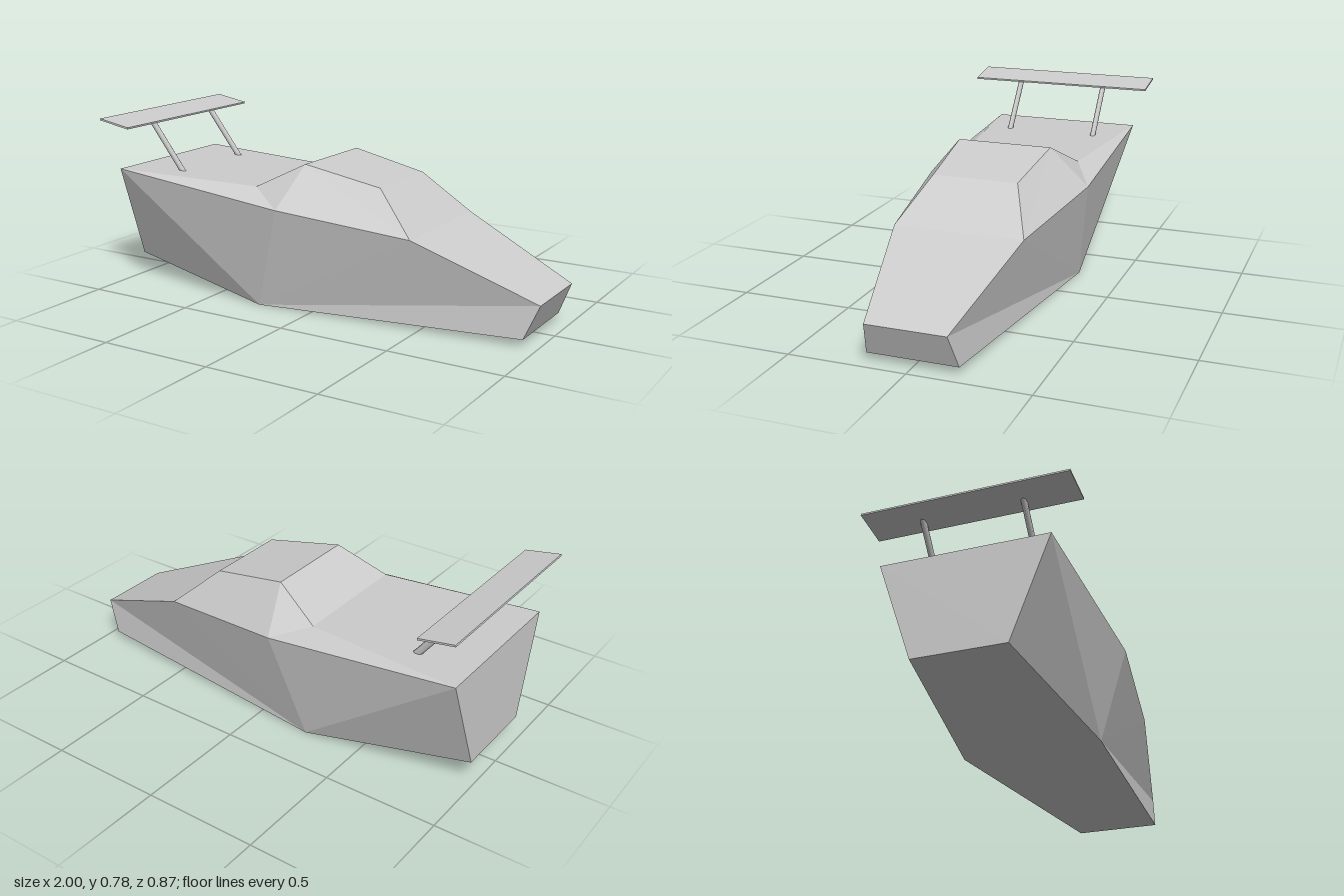
import * as THREE from 'three';

// Body corners on the +z side; each has a mirror twin on the -z side
const P = {
  rearTop: [-0.97, 0.537, 0.35],
  rearLow: [-0.985, 0.105, 0.195],
  sill: [-0.25, 0, 0.298],
  belt: [-0.11, 0.457, 0.37],
  cowl: [0.48, 0.392, 0.282],
  noseTop: [1.0, 0.176, 0.17],
  noseLow: [0.94, 0.032, 0.192],
  roofFront: [0.29, 0.565, 0.187],
  roofRear: [-0.06, 0.632, 0.212],
  cabinRear: [-0.27, 0.523, 0.275],
};
const CORE = new THREE.Vector3(0, 0.3, 0);

const point = (name, side) => {
  const [x, y, z] = P[name];
  return new THREE.Vector3(x, y, z * side);
};

// Builds a faceted panel from triangles, each turned to face away from the core
function panel(name, triangles, material) {
  const points = [];
  for (const [a, b, c] of triangles) {
    const normal = new THREE.Triangle(a, b, c).getNormal(new THREE.Vector3());
    const outward = normal.dot(a.clone().sub(CORE)) > 0;
    points.push(a, ...(outward ? [b, c] : [c, b]));
  }
  const geometry = new THREE.BufferGeometry().setFromPoints(points);
  geometry.computeVertexNormals();
  const mesh = new THREE.Mesh(geometry, material);
  mesh.name = name;
  return mesh;
}

// Panel spanning the full width between two mirrored corner pairs
function crossPanel(name, from, to, material) {
  const a = point(from, 1), b = point(from, -1), c = point(to, -1), d = point(to, 1);
  return panel(name, [[a, b, c], [a, c, d]], material);
}

export function createModel() {
  const grey = new THREE.MeshStandardMaterial({ color: 0xcccccc });
  grey.name = 'light grey';
  const model = new THREE.Group();
  model.name = 'wedgeCar';

  // Panels running across the body, from the tail over the roof and back underneath
  const strips = [
    ['rearDeck', 'rearTop', 'cabinRear'],
    ['rearWindow', 'cabinRear', 'roofRear'],
    ['roof', 'roofRear', 'roofFront'],
    ['windshield', 'roofFront', 'cowl'],
    ['hood', 'cowl', 'noseTop'],
    ['nose', 'noseTop', 'noseLow'],
    ['frontFloor', 'noseLow', 'sill'],
    ['rearFloor', 'sill', 'rearLow'],
    ['tail', 'rearLow', 'rearTop'],
  ];
  for (const [name, from, to] of strips) model.add(crossPanel(name, from, to, grey));

  // Side panels, mirrored left and right
  const sides = {
    LowerSide: [
      ['rearTop', 'rearLow', 'sill'], ['rearTop', 'sill', 'belt'], ['belt', 'sill', 'cowl'],
      ['cowl', 'sill', 'noseTop'], ['noseTop', 'sill', 'noseLow'],
    ],
    Shoulder: [['rearTop', 'belt', 'cabinRear']],
    CabinSide: [
      ['cabinRear', 'belt', 'roofRear'], ['roofRear', 'belt', 'cowl'], ['roofRear', 'cowl', 'roofFront'],
    ],
  };
  for (const side of [1, -1]) {
    for (const [name, faces] of Object.entries(sides)) {
      const triangles = faces.map(face => face.map(corner => point(corner, side)));
      model.add(panel((side > 0 ? 'near' : 'far') + name, triangles, grey));
    }
  }

  // Rear wing: a thin plate tilted down toward the nose
  const wing = new THREE.Mesh(new THREE.BoxGeometry(0.16, 0.008, 0.87), grey);
  wing.name = 'rearWing';
  wing.position.set(-0.921, 0.759, 0);
  wing.rotation.z = -0.17;
  model.add(wing);

  // Wing struts: slim six-sided posts sheared backward
  const strutGeometry = new THREE.CylinderGeometry(0.02, 0.02, 0.23, 6);
  strutGeometry.rotateY(Math.PI / 6);
  strutGeometry.scale(1, 1, 0.6);
  strutGeometry.applyMatrix4(new THREE.Matrix4().set(
    1, -0.78, 0, 0,
    0, 1, 0, 0,
    0, 0, 1, 0,
    0, 0, 0, 1,
  ));
  for (const side of [1, -1]) {
    const strut = new THREE.Mesh(strutGeometry, grey);
    strut.name = 'wingStrut';
    strut.position.set(-0.807, 0.638, 0.212 * side);
    model.add(strut);
  }
  return model;
}
